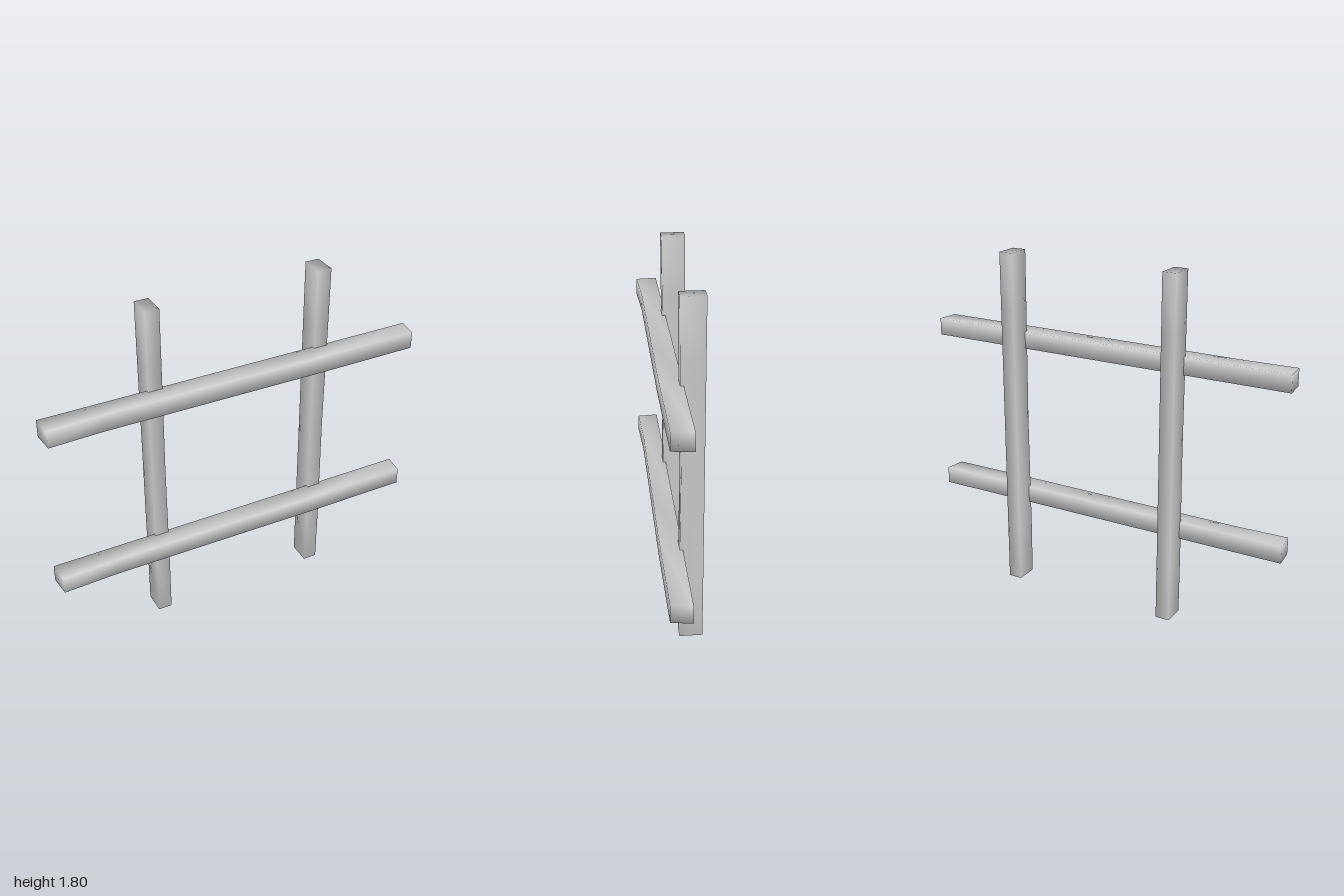
import * as THREE from 'three';
import { mergeVertices } from 'three/addons/utils/BufferGeometryUtils.js';

const material = new THREE.MeshStandardMaterial({ color: 0xcccccc });

// A hewn beam along x: each row is [position, front z]; the back stays flat.
// slant pulls the front corners of the two ends inwards.
function beamGeometry(rows, height, back, slant) {
  const last = rows.length - 1;
  const box = new THREE.BoxGeometry(last, 1, 1, last, 1, 1);
  box.deleteAttribute('normal');
  box.deleteAttribute('uv');
  const geometry = mergeVertices(box);
  const p = geometry.attributes.position;
  for (let i = 0; i < p.count; i++) {
    const k = Math.round(p.getX(i) + last / 2);
    const front = p.getZ(i) > 0;
    let x = rows[k][0];
    if (front && k === 0) x += slant[0];
    if (front && k === last) x -= slant[1];
    p.setXYZ(i, x, p.getY(i) * height, front ? rows[k][1] : back);
  }
  geometry.computeVertexNormals();
  return geometry;
}

export function createModel() {
  const group = new THREE.Group();
  const add = (name, geometry, x, y) => {
    const mesh = new THREE.Mesh(geometry, material);
    mesh.name = name;
    mesh.position.set(x, y, 0);
    group.add(mesh);
  };

  // Two horizontal rails in front
  const rail = beamGeometry(
    [[-1, 0.105], [-0.72, 0.095], [0, 0.1], [0.4, 0.103], [1, 0.1]], 0.09, -0.006, [0.01, 0.015]);
  add('lowerRail', rail, 0, 0.466);
  add('upperRail', rail, 0, 1.332);

  // Two upright posts behind
  const post = beamGeometry(
    [[0, 0.01], [0.3, 0.012], [0.9, 0.005], [1.5, 0.012], [1.8, 0.014]], 0.073, -0.107, [0, 0]);
  post.rotateZ(Math.PI / 2);
  add('rightPost', post, -0.417, 0);
  add('leftPost', post, 0.491, 0);

  return group;
}
